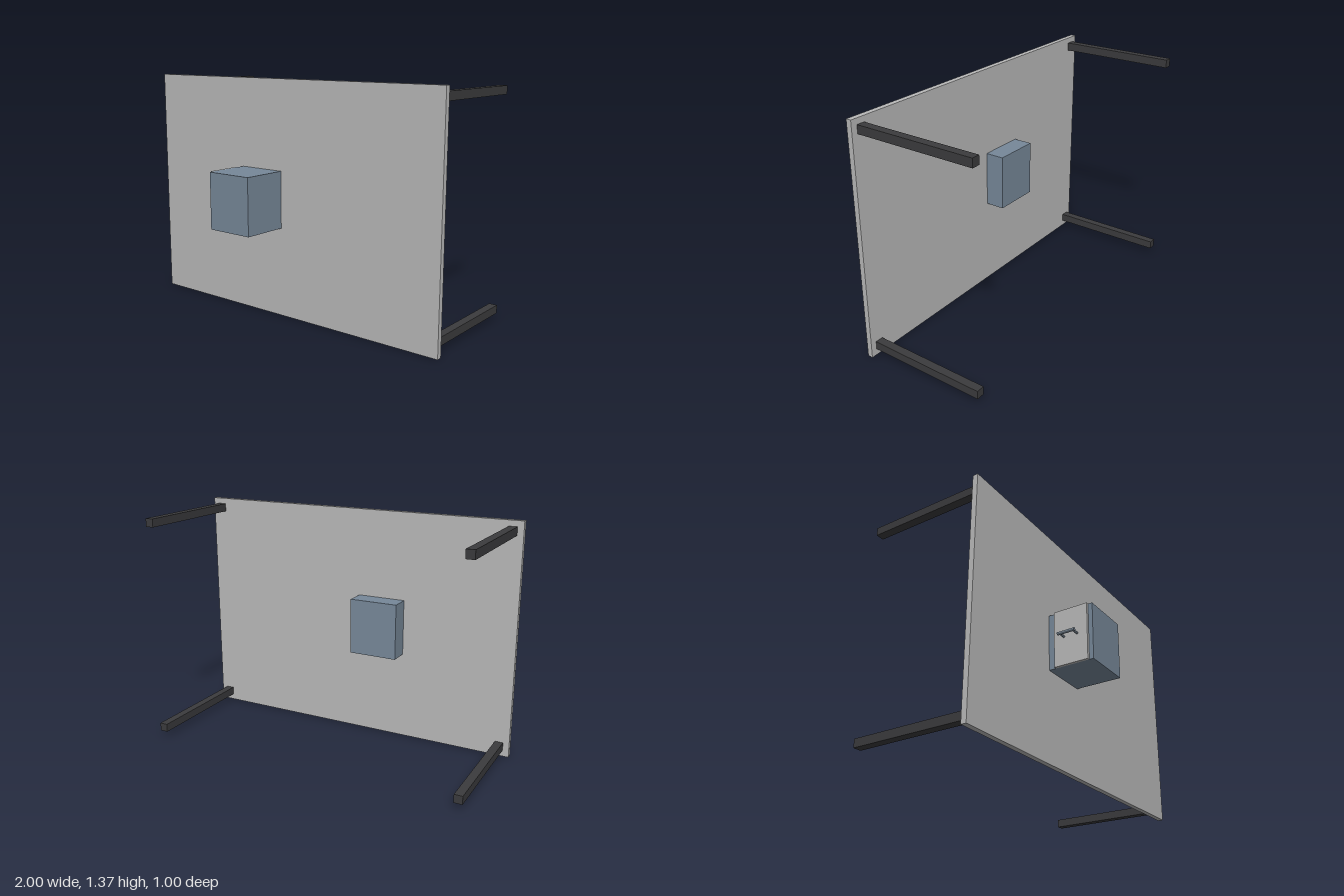
import * as THREE from 'three';

export function createModel() {
  const model = new THREE.Group();
  const paint = (name, color) => {
    const m = new THREE.MeshStandardMaterial({ color });
    m.name = name;
    return m;
  };
  const panelGrey = paint('panel grey', 0xb9b9b9);
  const slateBlue = paint('slate blue', 0x778899);
  const charcoal = paint('charcoal', 0x3b3b3d);
  const steel = paint('steel', 0x7c8a98);

  const add = (name, geometry, material, x, y, z, parent = model) => {
    const mesh = new THREE.Mesh(geometry, material);
    mesh.name = name;
    mesh.position.set(x, y, z);
    parent.add(mesh);
    return mesh;
  };
  // Box from its lower and upper limits on each axis
  const block = (name, material, [x0, x1], [y0, y1], [z0, z1]) =>
    add(name, new THREE.BoxGeometry(x1 - x0, y1 - y0, z1 - z0), material,
      (x0 + x1) / 2, (y0 + y1) / 2, (z0 + z1) / 2);

  // Upright panel
  block('panel', panelGrey, [-1, 1], [0, 1.367], [0.198, 0.229]);

  // Four square legs reaching back from the corners
  for (const x of [-0.94, 0.94]) {
    for (const y of [0.06, 1.31]) {
      block('leg', charcoal, [x - 0.024, x + 0.024], [y - 0.024, y + 0.024], [-0.5, 0.198]);
    }
  }

  // Cabinet passing through the panel, with a door on its right side
  block('cabinet', slateBlue, [-0.326, -0.036], [0.521, 0.851], [0.083, 0.5]);
  block('door', panelGrey, [-0.342, -0.326], [0.521, 0.851], [0.271, 0.475]);

  // Door handle: a round bar on two posts
  const handle = new THREE.Group();
  handle.name = 'handle';
  model.add(handle);
  const bar = new THREE.CylinderGeometry(0.009, 0.009, 0.104, 20).rotateX(Math.PI / 2);
  add('handleBar', bar, steel, -0.388, 0.686, 0.373, handle);
  const post = new THREE.CylinderGeometry(0.006, 0.006, 0.046, 16).rotateZ(Math.PI / 2);
  for (const z of [0.333, 0.413]) add('handlePost', post, steel, -0.365, 0.686, z, handle);

  return model;
}
